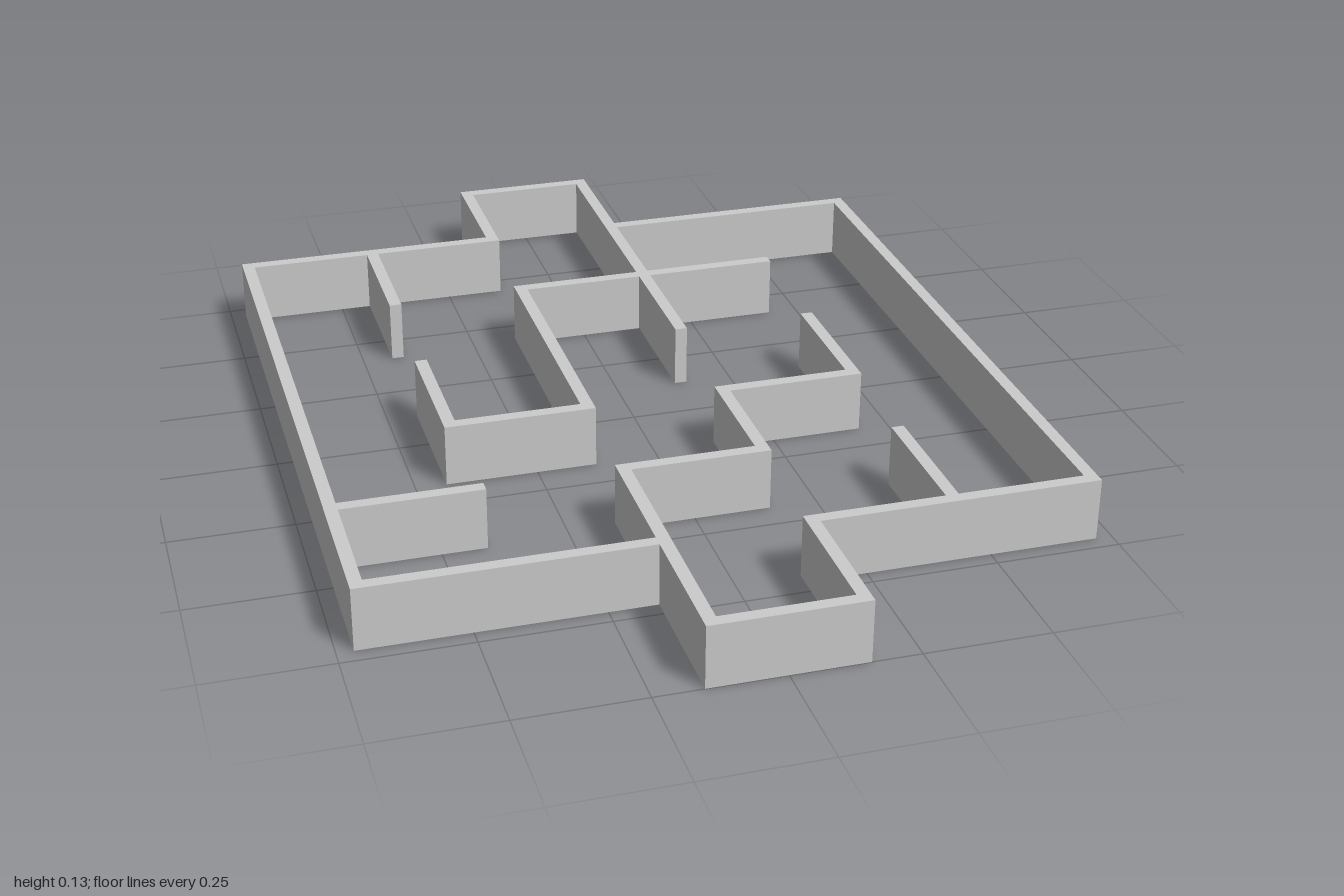
import * as THREE from 'three';

const HEIGHT = 0.128;
const HALF = 0.0128; // half the wall thickness
const A = 0.141, B = 0.424, C = 0.705, D = 0.987; // grid lines of the maze
const M = 0.162, END = -0.118; // inner cross walls and their free ends

const material = new THREE.MeshStandardMaterial({ color: 0xcccccc, flatShading: true });

const direction = (p, q) => q.clone().sub(p).normalize();
const toPoints = (list) => list.map(([x, z]) => new THREE.Vector2(x, z));

// Shifts a right-angled path sideways by d with mitred corners.
function offsetPath(points, d, closed) {
  const n = points.length;
  return points.map((p, i) => {
    const normals = [];
    if (closed || i > 0) normals.push(direction(points[(i + n - 1) % n], p));
    if (closed || i < n - 1) normals.push(direction(p, points[(i + 1) % n]));
    const out = p.clone();
    normals.forEach((v) => out.add(new THREE.Vector2(-v.y, v.x).multiplyScalar(d)));
    return out;
  });
}

// Raises a plan (x, z) to wall height, standing on y = 0.
function raise(name, shape) {
  const geometry = new THREE.ExtrudeGeometry(shape, { depth: HEIGHT, bevelEnabled: false });
  geometry.rotateX(Math.PI / 2).translate(0, HEIGHT, 0);
  const mesh = new THREE.Mesh(geometry, material);
  mesh.name = name;
  return mesh;
}

// Open wall: each end runs past its grid point if free, or stops at the face of the wall it joins.
function openWall(name, list, startJoined, endJoined = false) {
  const points = toPoints(list);
  const last = points.length - 1;
  const first = direction(points[0], points[1]);
  const final = direction(points[last - 1], points[last]);
  points[0].addScaledVector(first, startJoined ? HALF : -HALF);
  points[last].addScaledVector(final, endJoined ? -HALF : HALF);
  const outline = [...offsetPath(points, HALF), ...offsetPath(points, -HALF).reverse()];
  return raise(name, new THREE.Shape(outline));
}

export function createModel() {
  const maze = new THREE.Group();
  maze.name = 'maze';

  // Closed outer wall with a bay at the front and at the back
  const perimeter = toPoints([
    [-A, -D], [A, -D], [A, -C], [C, -C], [C, C], [A, C],
    [A, D], [-A, D], [-A, C], [-C, C], [-C, -C], [-A, -C],
  ]);
  const ring = new THREE.Shape(offsetPath(perimeter, -HALF, true));
  ring.holes.push(new THREE.Path(offsetPath(perimeter, HALF, true)));
  maze.add(raise('outerWall', ring));

  // Long stepped walls
  maze.add(openWall('frontSteppedWall', [[-A, C], [-A, B], [A, B], [A, M], [B, M], [B, END]], true));
  maze.add(openWall('backSteppedWall', [[B, -B], [-A, -B], [-A, M], [-B, M], [-B, END]], false));

  // Straight wall crossing the back stepped wall, in two pieces
  maze.add(openWall('crossingWallBack', [[A, -C], [A, -B]], true, true));
  maze.add(openWall('crossingWallFront', [[A, -B], [A, -A]], true));

  // Short stubs off the outer wall
  maze.add(openWall('backStub', [[-B, -C], [-B, -B]], true));
  maze.add(openWall('sideStub', [[-C, B], [-B, B]], true));
  maze.add(openWall('frontStub', [[B, C], [B, B]], true));

  return maze;
}
